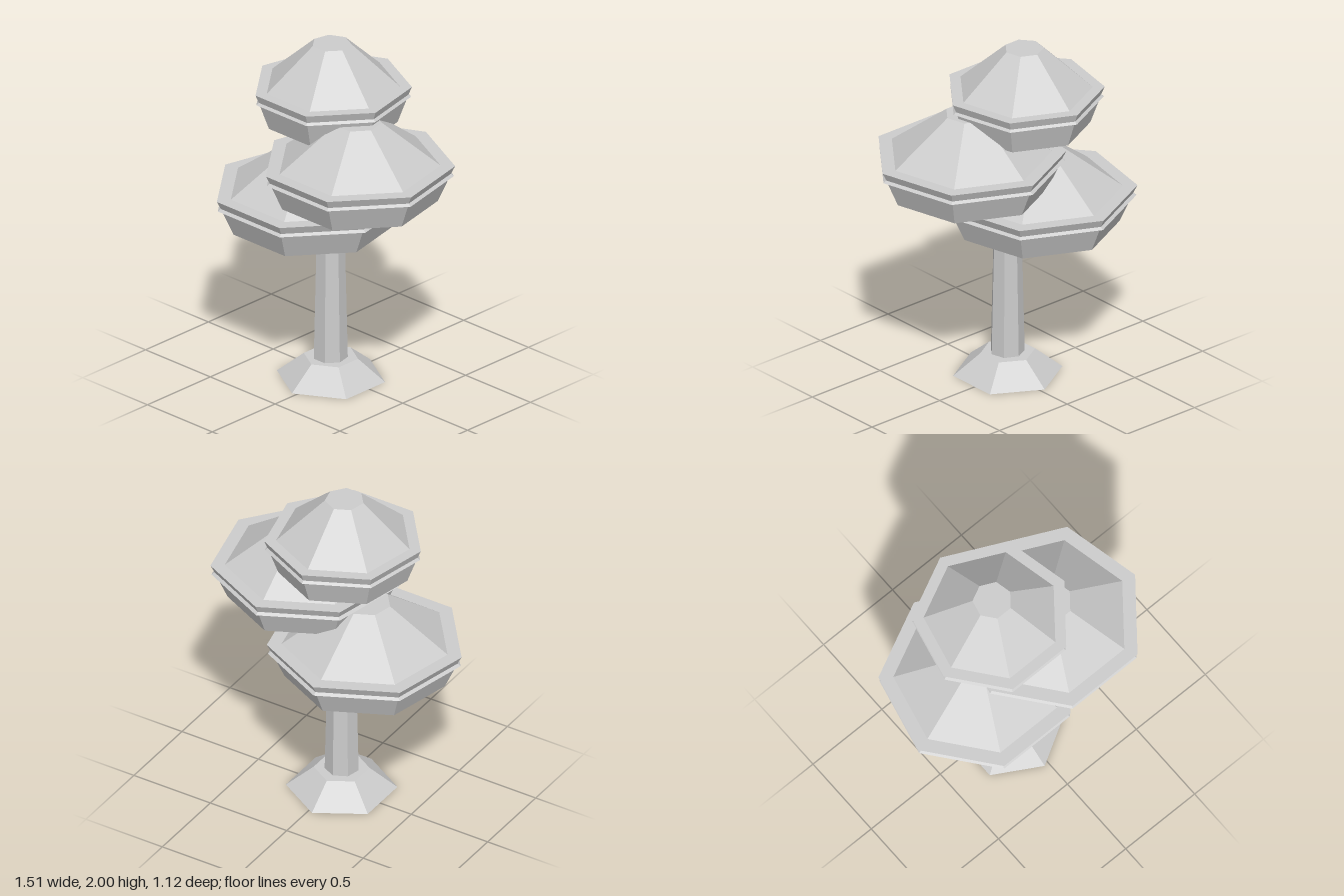
import * as THREE from 'three';

const stone = new THREE.MeshStandardMaterial({ color: 0xcccccc, flatShading: true });
stone.name = 'pale grey';

// Faceted solid turned from a [radius, height] profile, listed bottom to top
function turned(name, profile, sides, startAngle, x, y, z) {
  const points = profile.map(([r, h]) => new THREE.Vector2(r, h));
  const mesh = new THREE.Mesh(new THREE.LatheGeometry(points, sides, startAngle), stone);
  mesh.name = name;
  mesh.position.set(x, y, z);
  return mesh;
}

// Seven-sided canopy: flared skirt, thin lip, rim with a ledge, cut-off cone roof
function canopy(name, R, x, y, z) {
  return turned(name, [
    [0, 0], [0.823 * R, 0],
    [0.947 * R, 0.155], [0.99 * R, 0.157], [0.957 * R, 0.17],
    [R, 0.217], [0.852 * R, 0.217],
    [0.247 * R, 0.465], [0, 0.465],
  ], 7, Math.PI, x, y, z);
}

export function createModel() {
  const tree = new THREE.Group();
  tree.name = 'tree';

  // Six-sided foot and seven-sided tapering trunk
  tree.add(turned('rootBase', [[0, 0], [0.309, 0], [0.155, 0.125], [0, 0.125]], 6, 0, -0.027, 0, 0.028));
  tree.add(turned('trunk', [[0, 0.1], [0.098, 0.1], [0.079, 0.95], [0, 0.95]], 7, Math.PI, -0.027, 0, 0.033));

  // Three offset canopies
  tree.add(canopy('lowerCanopy', 0.557, -0.213, 0.87, -0.007));
  tree.add(canopy('middleCanopy', 0.542, 0.223, 1.195, 0.072));
  tree.add(canopy('upperCanopy', 0.448, -0.088, 1.535, -0.039));
  return tree;
}
